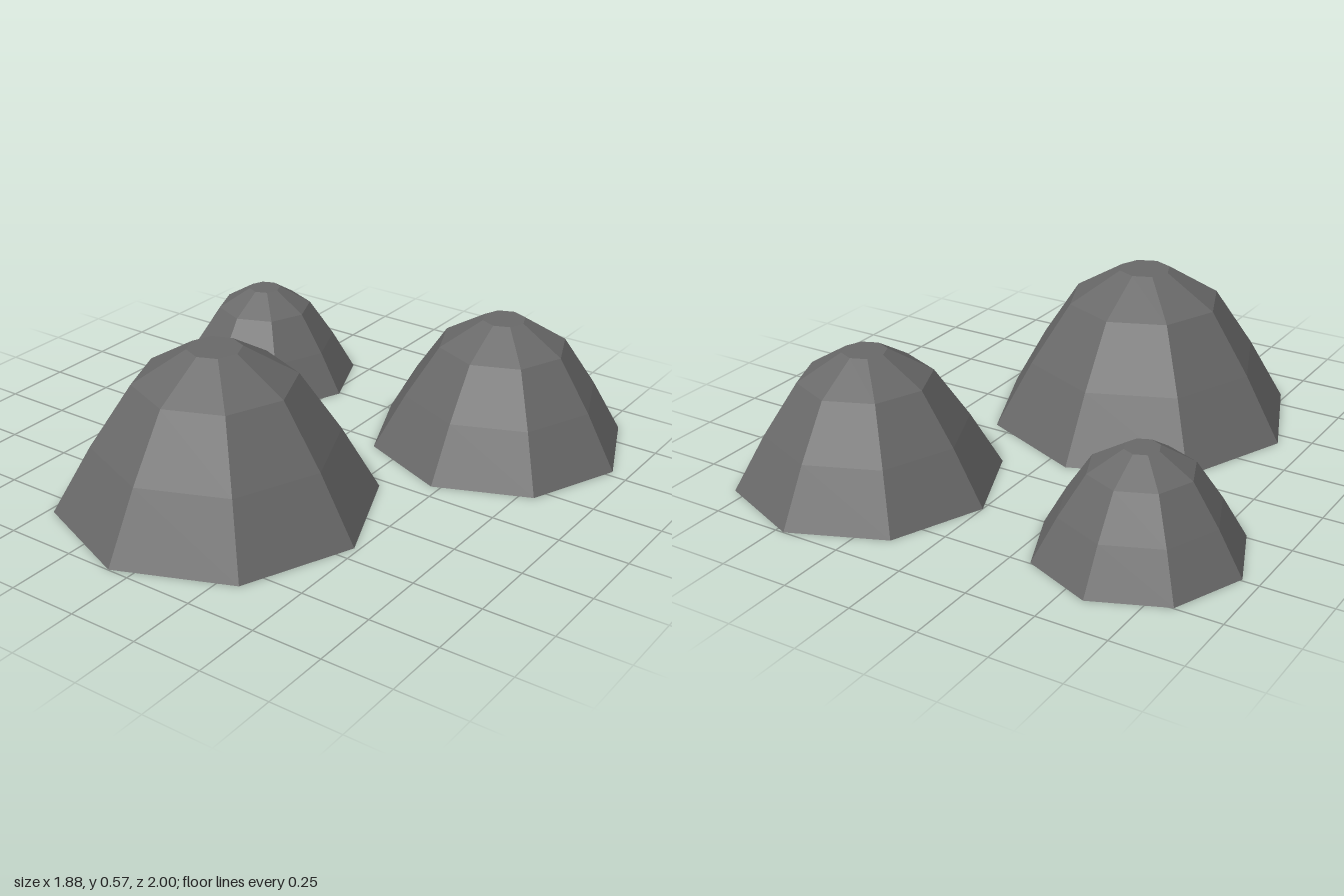
import * as THREE from 'three';

// Dome profile as fractions of [base radius, height], rim to crown
const PROFILE = [[1, 0], [0.76, 0.415], [0.5, 0.8], [0.168, 1], [0, 1]];

// Name, centre x, centre z, base radius, height
const MOUNDS = [
  ['largeMound', -0.08, 0.435, 0.563, 0.57],
  ['mediumMound', 0.468, -0.531, 0.468, 0.475],
  ['smallMound', -0.579, -0.492, 0.36, 0.365],
];

export function createModel() {
  const group = new THREE.Group();
  group.name = 'rockMounds';

  const stone = new THREE.MeshStandardMaterial({
    color: 0x696969, flatShading: true, side: THREE.DoubleSide,
  });
  stone.name = 'darkGreyStone';

  // Eight-sided faceted domes, hollow and open underneath
  for (const [name, x, z, radius, height] of MOUNDS) {
    const points = PROFILE.map(([r, y]) => new THREE.Vector2(r * radius, y * height));
    const mound = new THREE.Mesh(new THREE.LatheGeometry(points, 8), stone);
    mound.name = name;
    mound.position.set(x, 0, z);
    group.add(mound);
  }
  return group;
}
